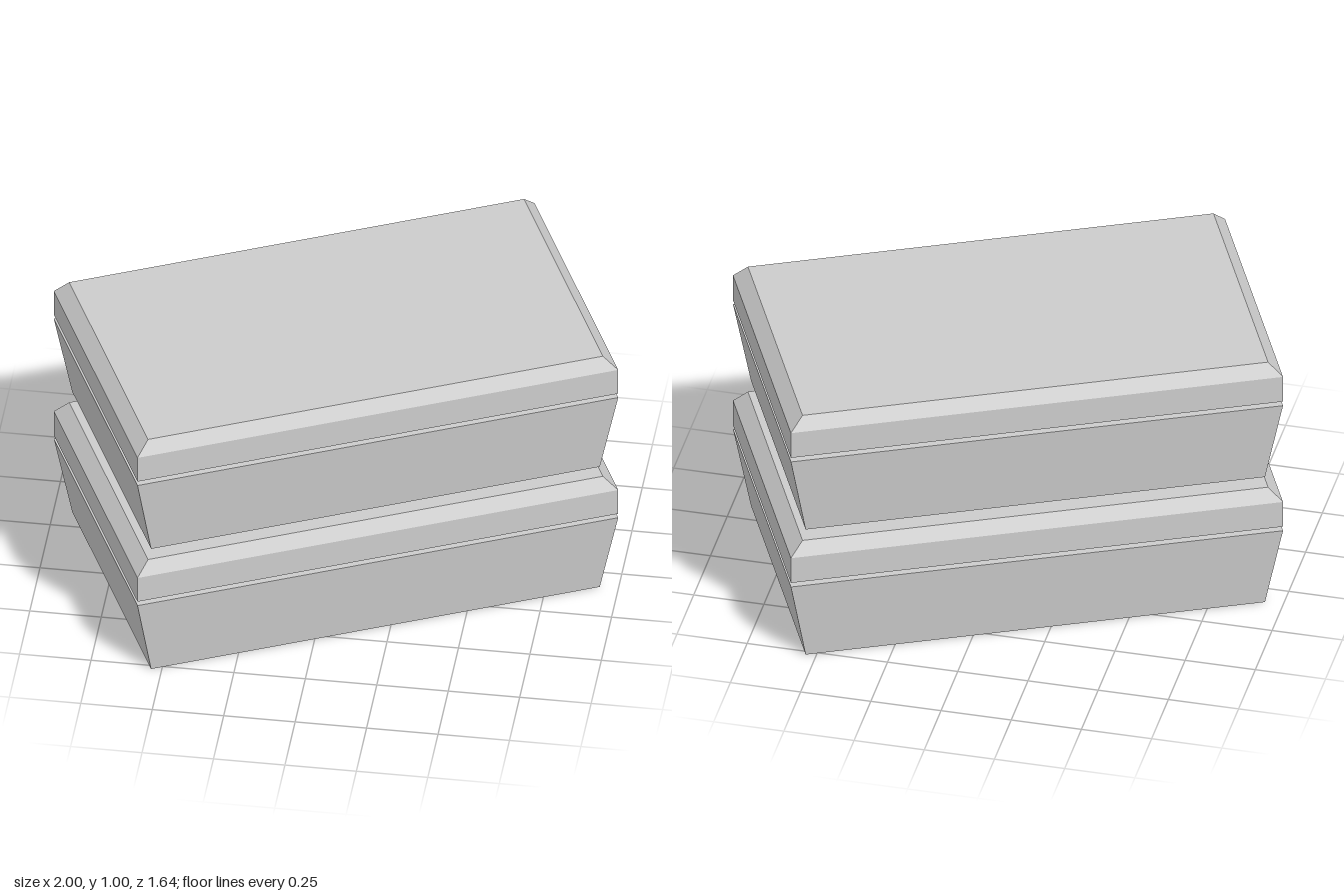
import * as THREE from 'three';

const material = new THREE.MeshStandardMaterial({ color: 0xcccccc, flatShading: true });

// Half sizes [x, z] of the wide rim and of the narrower sections
const RIM = [0.87, 0.5];
const FOOT = [0.812, 0.471];
const INSET = [0.823, 0.471];

// Box whose bottom and top rectangles may differ
function taperedBox(name, y0, y1, bottom, top) {
  const geometry = new THREE.BoxGeometry(2, 1, 2);
  const p = geometry.attributes.position;
  for (let i = 0; i < p.count; i++) {
    const isTop = p.getY(i) > 0;
    const [hx, hz] = isTop ? top : bottom;
    p.setXYZ(i, p.getX(i) * hx, isTop ? y1 : y0, p.getZ(i) * hz);
  }
  geometry.computeVertexNormals();
  const mesh = new THREE.Mesh(geometry, material);
  mesh.name = name;
  return mesh;
}

// One container: tapered body, recessed seam, lid with a bevelled top
function container(name, y) {
  const group = new THREE.Group();
  group.name = name;
  group.add(
    taperedBox('body', 0, 0.309, FOOT, RIM),
    taperedBox('seam', 0.309, 0.326, INSET, INSET),
    taperedBox('lidSide', 0.326, 0.429, RIM, RIM),
    taperedBox('lidBevel', 0.429, 0.478, RIM, INSET)
  );
  group.position.y = y;
  return group;
}

export function createModel() {
  const model = new THREE.Group();
  model.name = 'stackedContainers';
  // The stack stands turned on its vertical axis
  const stack = new THREE.Group();
  stack.name = 'stack';
  stack.rotation.y = THREE.MathUtils.degToRad(25);
  stack.add(container('lowerContainer', 0), container('upperContainer', 0.522));
  model.add(stack);
  return model;
}
